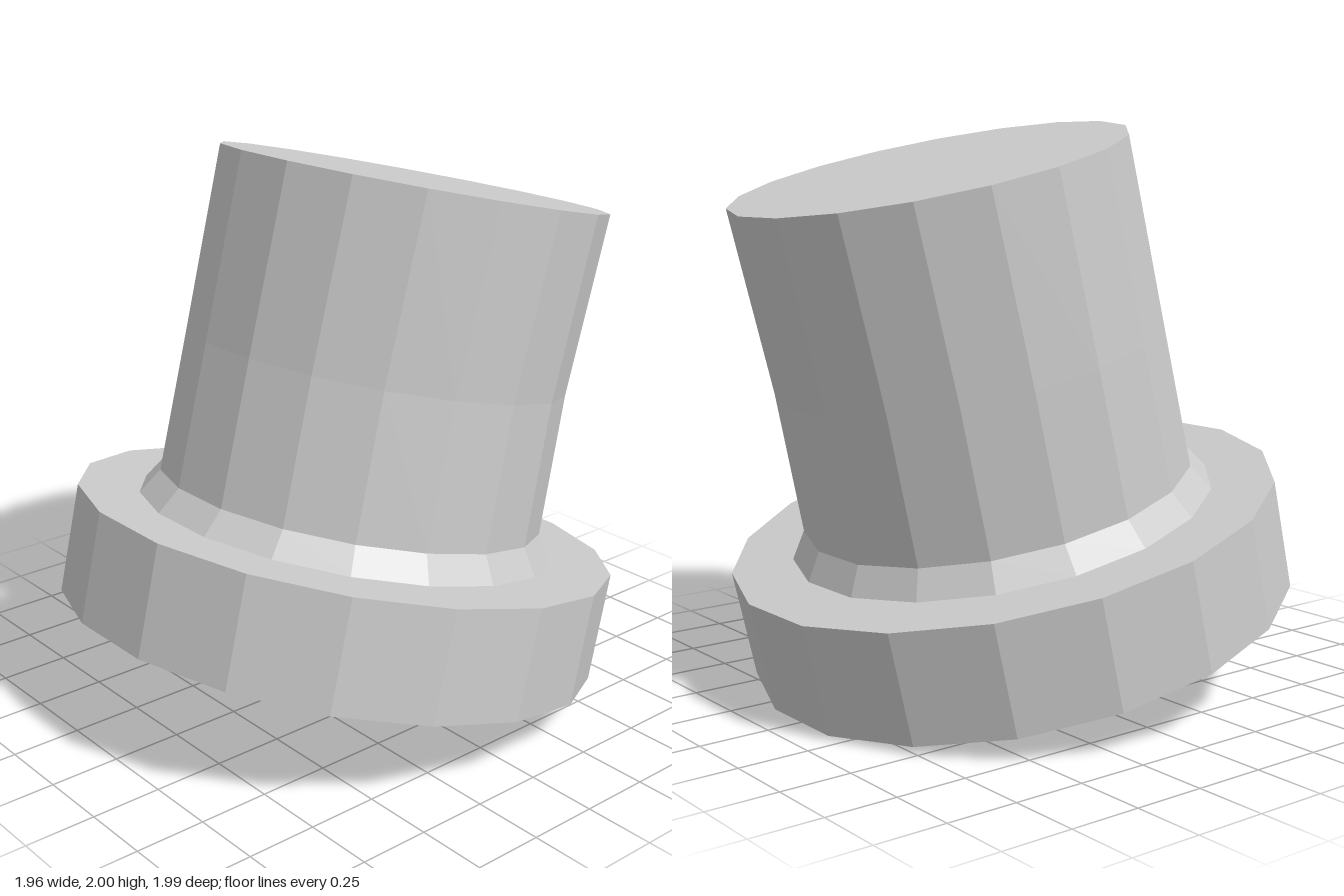
import * as THREE from 'three';

const SIDES = 18;

export function createModel() {
  const model = new THREE.Group();
  const hat = new THREE.Group();
  hat.name = 'tiltedHat';
  const material = new THREE.MeshStandardMaterial({ color: 0xcccccc, flatShading: true });

  // Turned part with a flat facet facing forward; the upper crown leans slightly to the left
  function turned(name, profile) {
    const points = profile.map(([r, h]) => new THREE.Vector2(r, h));
    const geometry = new THREE.LatheGeometry(points, SIDES, Math.PI / SIDES);
    const pos = geometry.attributes.position;
    for (let i = 0; i < pos.count; i++) {
      const lean = 0.025 * Math.max(0, (pos.getY(i) - 1) / 0.656);
      pos.setX(i, pos.getX(i) + lean);
    }
    geometry.computeVertexNormals();
    const mesh = new THREE.Mesh(geometry, material);
    mesh.name = name;
    hat.add(mesh);
  }

  // Thick brim ring: underside, outer wall, top
  turned('brim', [[0.76, 0], [0.98, 0], [0.98, 0.395], [0.76, 0.395]]);

  // Crown with a flared foot and a flat top
  turned('crown', [[0.76, 0.395], [0.7, 0.487], [0.69, 1.0], [0.695, 1.656], [0, 1.656]]);

  // Hollow inside, running from the ceiling down to the opening
  turned('lining', [[0, 1.645], [0.685, 1.645], [0.68, 1.0], [0.69, 0.47], [0.755, 0.3], [0.76, 0]]);

  // Tip the hat backward and rest its rear edge on the ground
  hat.rotation.x = THREE.MathUtils.degToRad(-13.5);
  hat.position.set(0, 0.228, 0.065);
  model.add(hat);
  return model;
}
